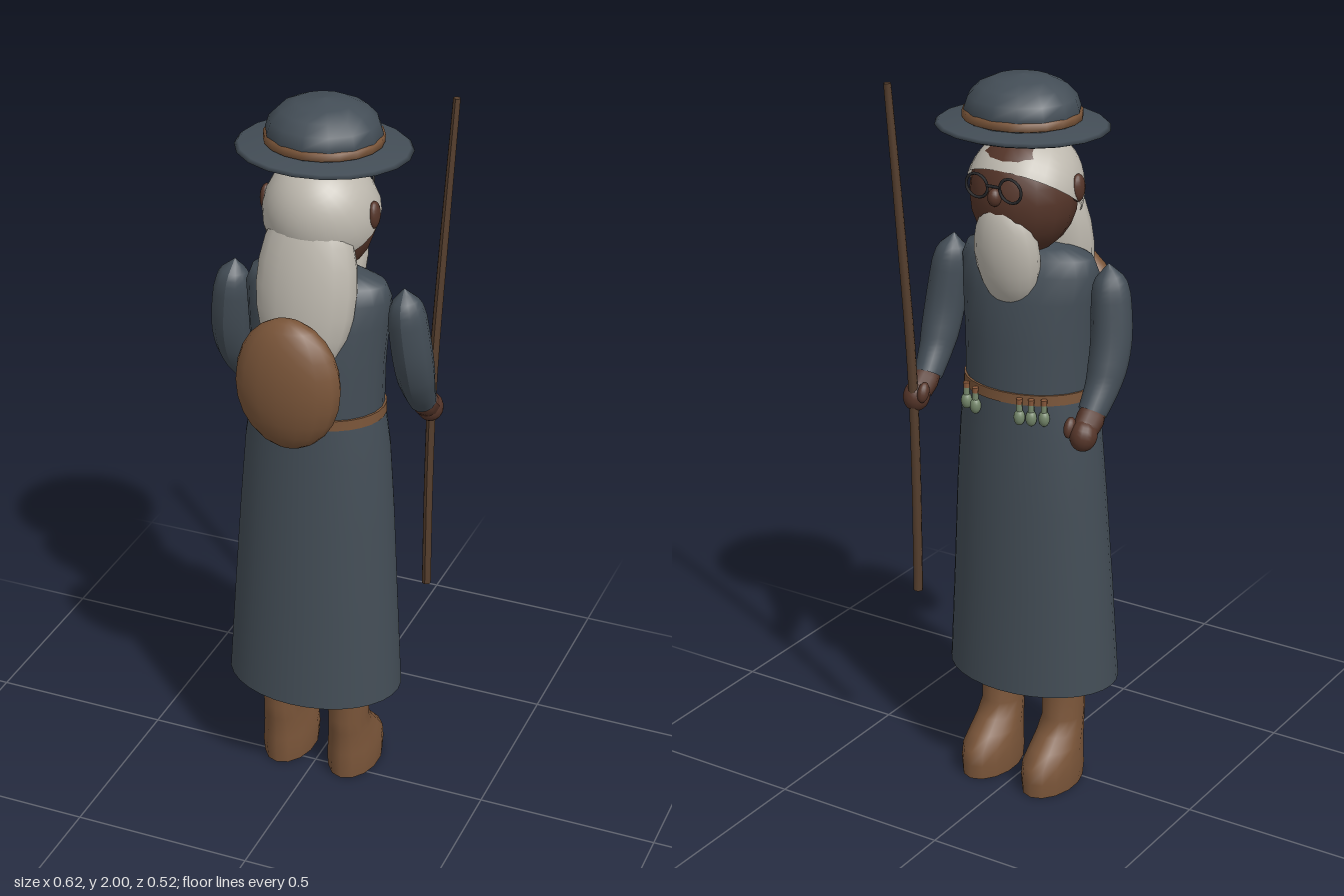
import * as THREE from 'three';

const mat = (color, side = THREE.FrontSide) => new THREE.MeshStandardMaterial({ color, side });
const ROBE = mat(0x434d56, THREE.DoubleSide), HAIR = mat(0xbdb8ae), SKIN = mat(0x553529);
const LEATHER = mat(0x7a5539), WOOD = mat(0x553e2d), TROUSER = mat(0x686d70);
const GLASS = mat(0x74866a), METAL = mat(0x2a2a2c), CORK = mat(0x8a5a3c);

// Smooth skin over horizontal elliptical rings [y, rx, rz, centreZ], bottom to top
function loft(rings, n = 20) {
  const pos = [], idx = [];
  rings.forEach(([y, rx, rz, cz]) => {
    for (let j = 0; j < n; j++) {
      const a = (j / n) * Math.PI * 2;
      pos.push(Math.sin(a) * rx, y, Math.cos(a) * rz + cz);
    }
  });
  for (let i = 0; i < rings.length - 1; i++) {
    for (let j = 0; j < n; j++) {
      const a = i * n + j, b = i * n + (j + 1) % n;
      idx.push(a, b, b + n, a, b + n, a + n);
    }
  }
  const g = new THREE.BufferGeometry();
  g.setAttribute('position', new THREE.Float32BufferAttribute(pos, 3));
  g.setIndex(idx);
  g.computeVertexNormals();
  return g;
}

// Tube whose radius follows a list of values spread along its length
function limb(points, radii, sides = 12, steps = 24) {
  const curve = new THREE.CatmullRomCurve3(points.map(p => new THREE.Vector3(...p)));
  const g = new THREE.TubeGeometry(curve, steps, 1, sides);
  const p = g.attributes.position, v = new THREE.Vector3();
  for (let i = 0; i <= steps; i++) {
    const c = curve.getPointAt(i / steps), t = (i / steps) * (radii.length - 1);
    const k = Math.min(Math.floor(t), radii.length - 2);
    const r = THREE.MathUtils.lerp(radii[k], radii[k + 1], t - k);
    for (let j = 0; j <= sides; j++) {
      const q = i * (sides + 1) + j;
      v.fromBufferAttribute(p, q).sub(c).multiplyScalar(r).add(c);
      p.setXYZ(q, v.x, v.y, v.z);
    }
  }
  g.computeVertexNormals();
  return g;
}

export function createModel() {
  const model = new THREE.Group();
  model.name = 'wanderer';
  const add = (name, geo, material, pos = [0, 0, 0], tilt = 0, parent = model) => {
    const m = new THREE.Mesh(geo, material);
    m.name = name;
    m.position.set(...pos);
    m.rotation.x = tilt;
    parent.add(m);
    return m;
  };
  const ball = (name, material, pos, r, tilt = 0, parent = model) =>
    add(name, new THREE.SphereGeometry(1, 16, 12).scale(...r), material, pos, tilt, parent);

  // Robe: open skirt and closed upper body
  add('skirt', loft([
    [0.31, 0.247, 0.184, 0], [0.6, 0.23, 0.172, -0.005], [0.85, 0.215, 0.162, -0.012],
    [1.05, 0.2, 0.153, -0.016], [1.17, 0.182, 0.145, -0.018],
  ], 32), ROBE);
  add('torso', loft([
    [1.15, 0.18, 0.143, -0.018], [1.3, 0.183, 0.14, -0.018], [1.42, 0.193, 0.127, -0.02],
    [1.49, 0.2, 0.107, -0.02], [1.53, 0.185, 0.085, -0.02], [1.55, 0.11, 0.07, -0.02], [1.565, 0.001, 0.001, -0.02],
  ], 24), ROBE);
  add('belt', loft([
    [1.15, 0.175, 0.14, -0.018], [1.15, 0.187, 0.149, -0.018], [1.15, 0.187, 0.149, -0.018],
    [1.178, 0.186, 0.148, -0.018], [1.178, 0.186, 0.148, -0.018], [1.178, 0.17, 0.135, -0.018],
  ], 32), LEATHER);

  // Legs, boots, arms and hands, mirrored
  for (const [s, side] of [[1, 'left'], [-1, 'right']]) {
    add(side + 'Leg', new THREE.CylinderGeometry(0.062, 0.048, 0.8, 12), TROUSER, [s * 0.095, 0.68, 0]);
    add(side + 'Boot', loft([
      [0, 0.001, 0.001, -0.06], [0, 0.07, 0.115, -0.061], [0, 0.07, 0.115, -0.061],
      [0.04, 0.073, 0.118, -0.06], [0.08, 0.071, 0.114, -0.058], [0.115, 0.066, 0.095, -0.04],
      [0.15, 0.061, 0.077, -0.02], [0.19, 0.057, 0.065, -0.004], [0.31, 0.061, 0.063, -0.002],
      [0.31, 0.061, 0.063, -0.002], [0.31, 0.045, 0.045, 0],
    ], 14), LEATHER, [s * 0.098, 0, 0]);

    add(side + 'Sleeve', limb(
      [[s * 0.236, 1.53, -0.02], [s * 0.246, 1.44, -0.023], [s * 0.257, 1.32, -0.04],
        [s * 0.258, 1.23, -0.075], [s * 0.254, 1.16, -0.125]],
      [0.001, 0.042, 0.051, 0.053, 0.054, 0.054, 0.053, 0.051, 0.046, 0.042, 0.038]), ROBE);

    const hand = new THREE.Group();
    hand.name = side + 'Hand';
    model.add(hand);
    add('wrist', limb([[s * 0.254, 1.175, -0.11], [s * 0.256, 1.15, -0.135], [s * 0.256, 1.125, -0.165]],
      [0.03, 0.037, 0.034], 10, 6), SKIN, [0, 0, 0], 0, hand);
    ball('fist', SKIN, [s * 0.258, 1.115, -0.175], [0.036, 0.042, 0.038], 0.4, hand);
    ball('thumb', SKIN, [s * 0.226, 1.135, -0.19], [0.015, 0.028, 0.018], 0.4, hand);
  }

  // Staff held in one hand, bending slightly above the grip
  add('staff', limb([[0.254, 0.55, -0.19], [0.253, 0.9, -0.191], [0.256, 1.2, -0.197],
    [0.271, 1.6, -0.216], [0.287, 1.975, -0.237]],
  [0.013, 0.013, 0.013, 0.012, 0.01], 8), WOOD);
  add('staffFoot', new THREE.CircleGeometry(0.013, 8), WOOD, [0.254, 0.55, -0.19], Math.PI / 2);
  add('staffTip', new THREE.CircleGeometry(0.01, 8), WOOD, [0.287, 1.975, -0.237], -Math.PI / 2);

  // Pack
  ball('backPack', LEATHER, [0, 1.308, 0.185], [0.145, 0.184, 0.075]);

  // Head, hair and beard
  add('neck', new THREE.CylinderGeometry(0.06, 0.07, 0.12, 12), SKIN, [0, 1.56, -0.03]);
  ball('head', SKIN, [0, 1.69, -0.05], [0.143, 0.16, 0.137]);
  add('hairCap', new THREE.SphereGeometry(1, 24, 12, 0, Math.PI * 2, 0, Math.PI / 2)
    .scale(0.155, 0.172, 0.149), mat(0xbdb8ae, THREE.DoubleSide), [0, 1.69, -0.046], 0.6);
  ball('longHair', HAIR, [0, 1.53, 0.06], [0.138, 0.25, 0.083], -0.14);
  ball('beard', HAIR, [0, 1.545, -0.13], [0.092, 0.152, 0.062], -0.16);
  ball('nose', SKIN, [0, 1.71, -0.187], [0.018, 0.024, 0.02]);
  for (const s of [1, -1]) {
    ball('ear', SKIN, [s * 0.148, 1.717, -0.027], [0.016, 0.037, 0.024]);
    add('spectacleRim', new THREE.TorusGeometry(0.032, 0.004, 6, 18), METAL, [s * 0.05, 1.735, -0.192], -0.1);
  }
  add('spectacleBridge', new THREE.CylinderGeometry(0.004, 0.004, 0.04, 6).rotateZ(Math.PI / 2), METAL, [0, 1.74, -0.194]);

  // Hat
  add('hatBrim', loft([
    [1.868, 0.001, 0.001, -0.055], [1.863, 0.15, 0.14, -0.055], [1.862, 0.215, 0.192, -0.055],
    [1.868, 0.232, 0.207, -0.055], [1.876, 0.222, 0.198, -0.055], [1.886, 0.14, 0.13, -0.055],
  ], 20), ROBE);
  add('hatCrown', loft([
    [1.88, 0.147, 0.14, -0.055], [1.915, 0.152, 0.145, -0.055], [1.945, 0.142, 0.135, -0.055],
    [1.972, 0.115, 0.11, -0.055], [1.99, 0.075, 0.072, -0.055], [2, 0.001, 0.001, -0.055],
  ], 14), ROBE);
  add('hatBand', loft([
    [1.885, 0.145, 0.138, -0.055], [1.889, 0.156, 0.149, -0.055],
    [1.908, 0.156, 0.149, -0.055], [1.912, 0.145, 0.138, -0.055],
  ], 20), LEATHER);

  // Corked vials hanging from the belt
  for (const x of [0.12, 0.08, -0.06, -0.09, -0.12]) {
    const vial = new THREE.Group();
    vial.name = 'vial';
    const z = -0.018 - 0.158 * Math.sqrt(1 - (x / 0.197) ** 2);
    vial.position.set(x, 1.13, z);
    model.add(vial);
    ball('flask', GLASS, [0, -0.01, 0], [0.015, 0.022, 0.015], 0, vial);
    add('flaskNeck', new THREE.CylinderGeometry(0.008, 0.009, 0.025, 8), GLASS, [0, 0.015, 0], 0, vial);
    add('cork', new THREE.CylinderGeometry(0.009, 0.008, 0.015, 8), CORK, [0, 0.034, 0], 0, vial);
  }
  return model;
}
